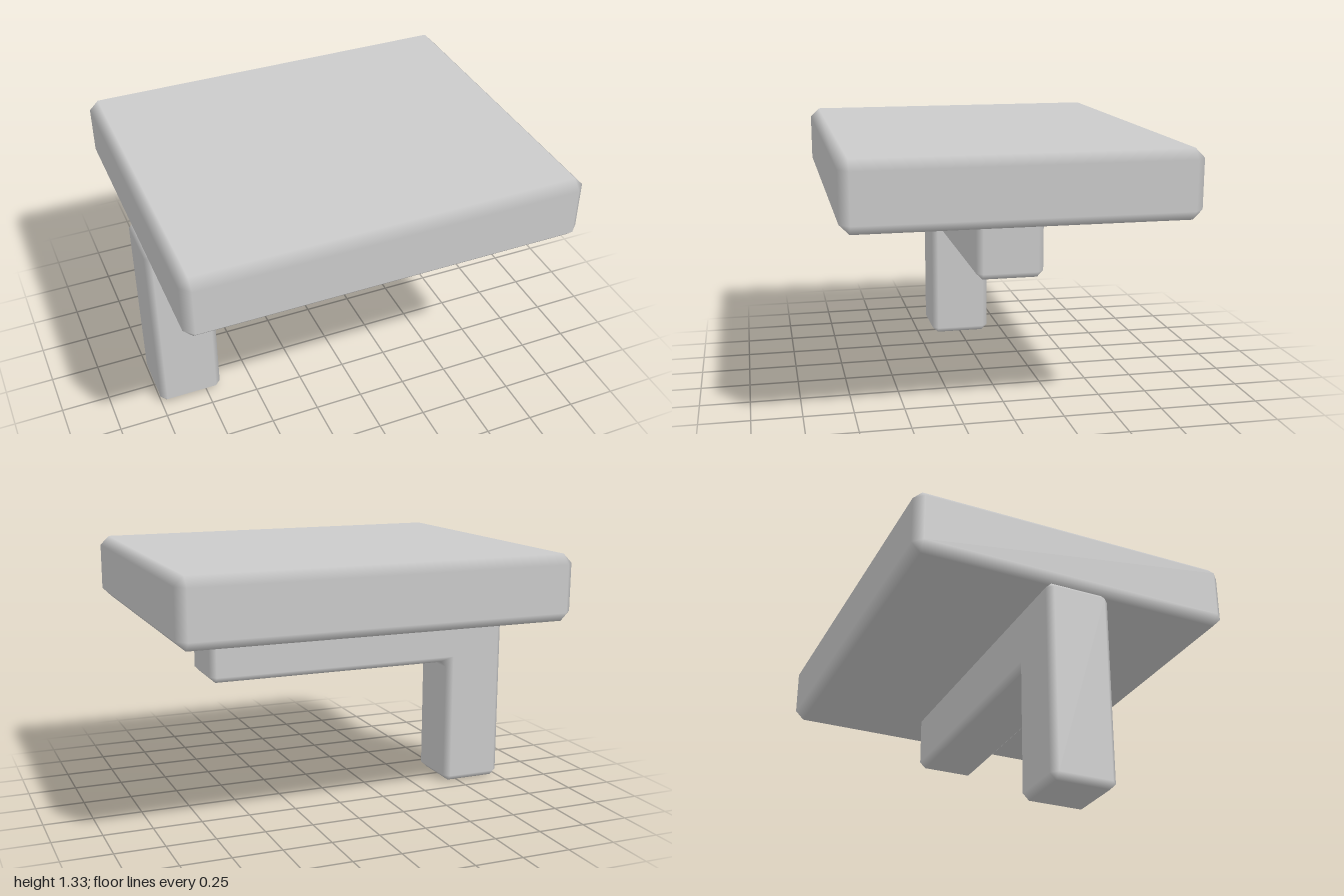
import * as THREE from 'three';

// Prism along z from a counter-clockwise right-angled outline, every edge chamfered by c.
// Each vertex carries the normal of its flat face, so only the chamfers shade smoothly.
function chamferedPrism(outline, halfDepth, c) {
  const points = outline.map(([x, y]) => new THREE.Vector2(x, y));
  const n = points.length;
  const positions = [], normals = [], index = [], caps = [];
  const quad = (a, b, d, e) => index.push(a, b, d, a, d, e);

  // Per corner and side: cap vertex, end of incoming face, start of outgoing face
  for (const s of [1, -1]) {
    points.forEach((p, i) => {
      const dIn = p.clone().sub(points[(i + n - 1) % n]).normalize();
      const dOut = points[(i + 1) % n].clone().sub(p).normalize();
      const cap = new THREE.Vector2(p.x - c * (dIn.y + dOut.y), p.y + c * (dIn.x + dOut.x));
      const a = p.clone().addScaledVector(dIn, -c);
      const b = p.clone().addScaledVector(dOut, c);
      const z = s * halfDepth, zc = s * (halfDepth - c);
      positions.push(cap.x, cap.y, z, a.x, a.y, zc, b.x, b.y, zc);
      normals.push(0, 0, s, dIn.y, -dIn.x, 0, dOut.y, -dOut.x, 0);
      if (s === 1) caps.push(cap);
    });
  }

  const back = 3 * n;
  for (let i = 0; i < n; i++) {
    const I = 3 * i, A = I + 1, B = I + 2;
    const J = 3 * ((i + 1) % n), C = J + 1;
    quad(B, B + back, C + back, C); // flat side
    quad(A, A + back, B + back, B); // chamfer along z
    quad(I, B, C, J); // front rim
    quad(J + back, C + back, B + back, I + back); // back rim
    index.push(I, A, B, I + back, B + back, A + back); // corners
  }
  for (const [a, b, d] of THREE.ShapeUtils.triangulateShape(caps, [])) {
    index.push(3 * a, 3 * b, 3 * d, 3 * d + back, 3 * b + back, 3 * a + back);
  }

  const geometry = new THREE.BufferGeometry();
  geometry.setAttribute('position', new THREE.Float32BufferAttribute(positions, 3));
  geometry.setAttribute('normal', new THREE.Float32BufferAttribute(normals, 3));
  geometry.setIndex(index);
  return geometry;
}

export function createModel() {
  const group = new THREE.Group();
  const material = new THREE.MeshStandardMaterial({ color: 0xcccccc });
  const add = (name, geometry) => {
    const mesh = new THREE.Mesh(geometry, material);
    mesh.name = name;
    group.add(mesh);
  };

  // Thick rectangular top
  add('tabletop', chamferedPrism([[-1, 1], [1, 1], [1, 1.333], [-1, 1.333]], 0.833, 0.047));

  // L-shaped support: leg at one end, beam under the top
  add('legAndBeam', chamferedPrism(
    [[-1, 0], [-0.67, 0], [-0.67, 0.68], [0.663, 0.68], [0.663, 1], [-1, 1]], 0.165, 0.031));

  return group;
}
